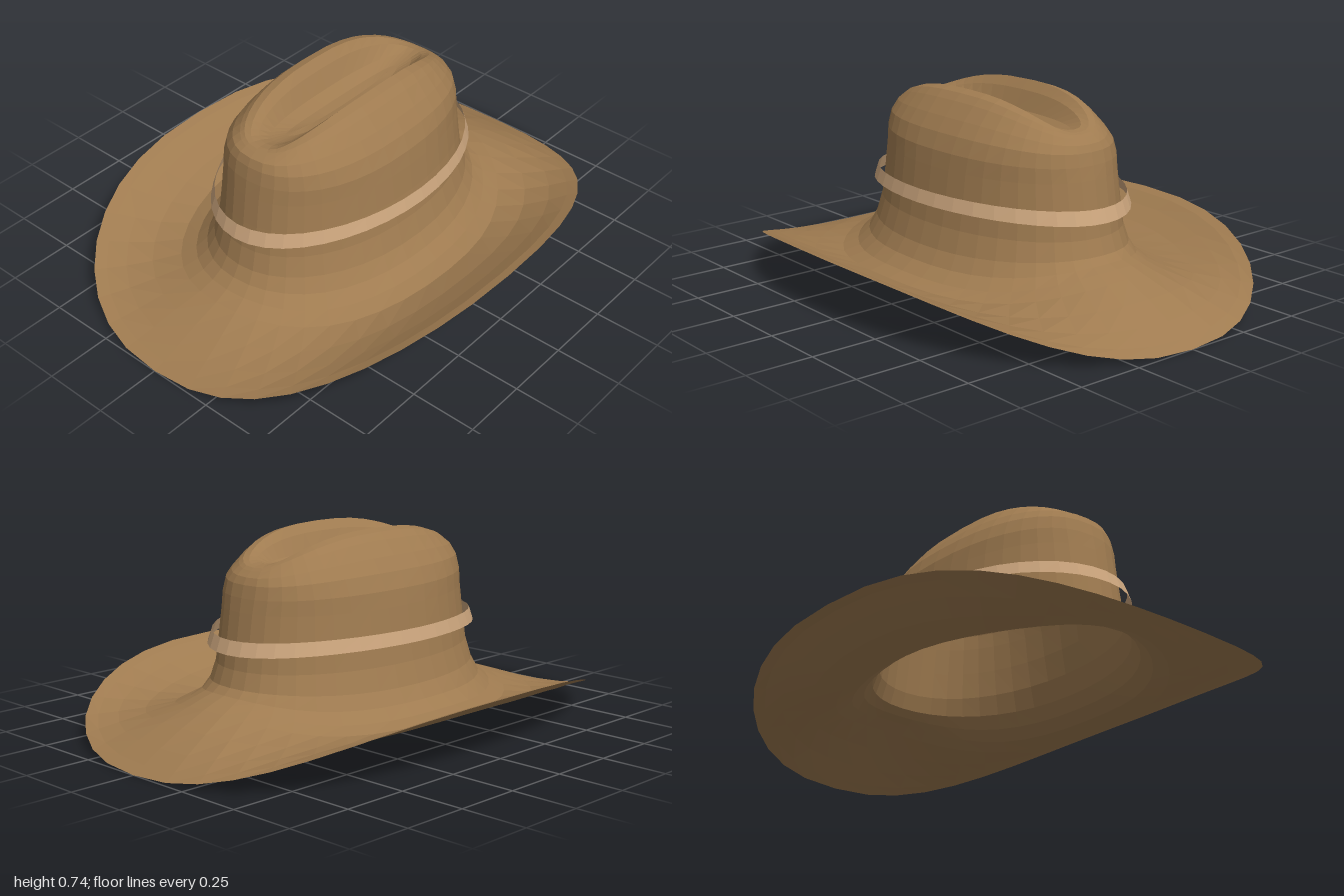
import * as THREE from 'three';

const SEGMENTS = 40;

// Each ring: [half width, half length, side y, front y, back y, roundness, diagonal dip]
const HAT_RINGS = [
  [0.77, 1.0, 0.218, 0.0, 0.0, 2.32, 0.003],   // brim edge
  [0.735, 0.955, 0.206, 0.013, 0.025, 2.3, 0.012],
  [0.68, 0.885, 0.172, 0.038, 0.067, 2.25, 0.022],
  [0.60, 0.79, 0.13, 0.074, 0.118, 2.2, 0.028],
  [0.51, 0.69, 0.1, 0.107, 0.163, 2.1, 0.022],
  [0.45, 0.635, 0.115, 0.132, 0.185, 2.1, 0.017], // foot of the crown
  [0.402, 0.597, 0.15, 0.163, 0.197, 2.1, 0.008],
  [0.37, 0.57, 0.2, 0.207, 0.22, 2.1, 0],
  [0.345, 0.55, 0.28, 0.28, 0.28, 2.1, 0],
  [0.328, 0.535, 0.38, 0.38, 0.38, 2.15, 0],
  [0.315, 0.52, 0.48, 0.49, 0.48, 2.2, 0],
  [0.306, 0.511, 0.54, 0.55, 0.53, 2.3, 0],
  [0.282, 0.5, 0.6, 0.6, 0.575, 2.4, 0],
  [0.248, 0.487, 0.65, 0.63, 0.6, 2.4, 0],
  [0.205, 0.465, 0.702, 0.643, 0.62, 2.5, 0],
  [0.178, 0.452, 0.727, 0.65, 0.63, 2.6, 0],
  [0.143, 0.437, 0.737, 0.652, 0.635, 2.6, 0],  // twin ridges
  [0.113, 0.41, 0.703, 0.65, 0.64, 2.6, 0],
  [0.08, 0.37, 0.635, 0.64, 0.63, 2.4, 0],      // crease floor
  [0.04, 0.3, 0.605, 0.625, 0.618, 2.2, 0],
  [0.0, 0.22, 0.6, 0.615, 0.61, 2, 0],
];

const BAND_RINGS = [
  [0.382, 0.585, 0.358, 0.337, 0.34, 2, 0],
  [0.368, 0.567, 0.405, 0.39, 0.39, 2, 0],
];

const signedPow = (v, p) => Math.sign(v) * Math.abs(v) ** p;

// Skins a stack of rounded oval rings whose height bends from side to end
function loftRings(rings) {
  const positions = [];
  const indices = [];
  for (const [rx, rz, ySide, yFront, yBack, round, dip] of rings) {
    for (let i = 0; i < SEGMENTS; i++) {
      const t = (i / SEGMENTS) * Math.PI * 2;
      const u = signedPow(Math.cos(t), 2 / round);
      const w = signedPow(Math.sin(t), 2 / round);
      const yEnd = w > 0 ? yFront : yBack;
      const bend = (yEnd - ySide) * Math.abs(w) ** 2.6;
      positions.push(rx * u, ySide + bend - dip * Math.sin(2 * t) ** 2, rz * w);
    }
  }
  for (let j = 0; j < rings.length - 1; j++) {
    for (let i = 0; i < SEGMENTS; i++) {
      const a = j * SEGMENTS + i;
      const b = j * SEGMENTS + ((i + 1) % SEGMENTS);
      const c = a + SEGMENTS;
      const d = b + SEGMENTS;
      indices.push(a, c, b, b, c, d);
    }
  }
  const geometry = new THREE.BufferGeometry();
  geometry.setAttribute('position', new THREE.Float32BufferAttribute(positions, 3));
  geometry.setIndex(indices);
  geometry.computeVertexNormals();
  return geometry;
}

function makePart(name, rings, color) {
  const material = new THREE.MeshStandardMaterial({
    color, flatShading: true, side: THREE.DoubleSide,
  });
  const mesh = new THREE.Mesh(loftRings(rings), material);
  mesh.name = name;
  return mesh;
}

export function createModel() {
  const hat = new THREE.Group();
  hat.name = 'hat';
  // Brim and creased crown are one continuous felt sheet
  hat.add(makePart('brimAndCrown', HAT_RINGS, 0x9f7b50));
  // Thin tapered band standing slightly off the crown
  hat.add(makePart('hatBand', BAND_RINGS, 0xcaa47c));
  return hat;
}
